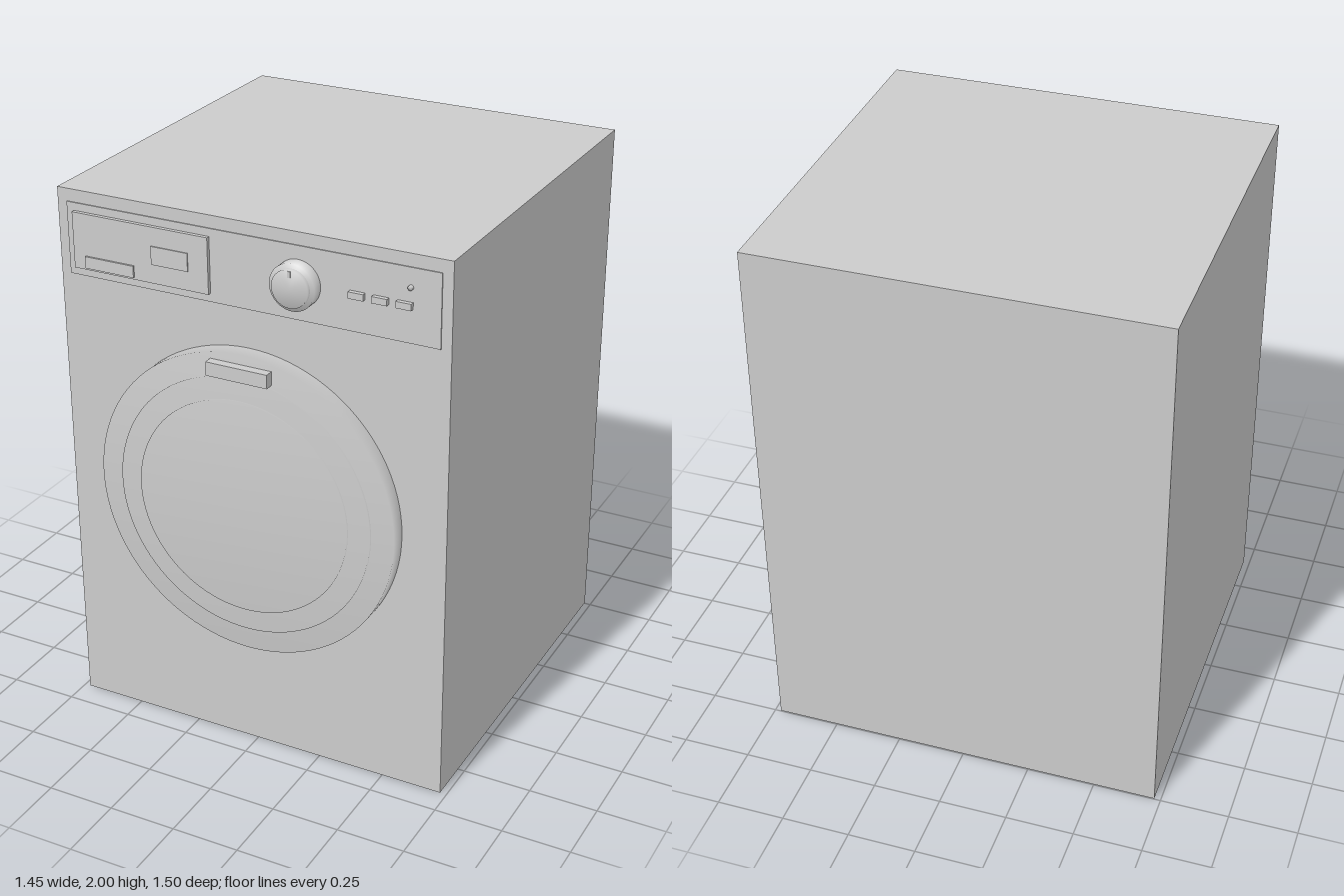
import * as THREE from 'three';

const material = new THREE.MeshStandardMaterial({ color: 0xcccccc });
const FRONT = 0.657; // z of the cabinet front

export function createModel() {
  const model = new THREE.Group();

  const add = (name, geometry, x = 0, y = 0, z = 0) => {
    const mesh = new THREE.Mesh(geometry, material);
    mesh.name = name;
    mesh.position.set(x, y, z);
    model.add(mesh);
    return mesh;
  };

  // Box given by its extents on each axis
  const box = (name, x0, x1, y0, y1, z0, z1) =>
    add(name, new THREE.BoxGeometry(x1 - x0, y1 - y0, z1 - z0),
      (x0 + x1) / 2, (y0 + y1) / 2, (z0 + z1) / 2);

  // Soft-shaded disc facing the front, from z0 to z1
  const disc = (name, x, y, radius, z0, z1, segments = 64) => {
    const profile = [[radius, z0], [radius, z1], [0, z1]].map(([r, h]) => new THREE.Vector2(r, h));
    const geometry = new THREE.LatheGeometry(profile, segments).rotateX(Math.PI / 2);
    return add(name, geometry, x, y, 0);
  };

  // Cabinet and feet
  box('cabinet', -0.727, 0.727, 0.003, 2, -0.75, FRONT);
  for (const x of [-0.58, 0.58]) {
    for (const z of [-0.595, 0.505]) {
      add('foot', new THREE.CylinderGeometry(0.045, 0.045, 0.04, 24), x, 0.02, z);
    }
  }

  // Control panel and detergent drawer
  box('controlPanel', -0.69, 0.69, 1.697, 1.955, FRONT - 0.02, 0.661);
  box('detergentDrawer', -0.662, -0.14, 1.727, 1.927, FRONT - 0.01, 0.675);
  box('drawerGrip', -0.615, -0.425, 1.735, 1.777, 0.66, 0.682);
  box('drawerLabel', -0.355, -0.215, 1.795, 1.86, 0.66, 0.679);

  // Programme knob with pointer
  disc('knobBase', 0.186, 1.826, 0.082, FRONT - 0.01, 0.704, 48);
  disc('knobCap', 0.186, 1.826, 0.066, 0.69, 0.72, 48);
  box('knobPointer', 0.181, 0.191, 1.866, 1.888, 0.7, 0.723);

  // Buttons and indicator light
  for (const x of [0.399, 0.482, 0.566]) {
    box('button', x - 0.027, x + 0.027, 1.815, 1.838, FRONT - 0.01, 0.677);
  }
  disc('indicatorLight', 0.585, 1.888, 0.009, FRONT - 0.01, 0.669, 12);

  // Round door: rim, inner ring, glass and handle
  disc('doorRim', 0, 0.992, 0.565, FRONT - 0.01, 0.718, 96);
  disc('doorRing', 0, 0.992, 0.481, 0.69, 0.727, 96);
  disc('doorGlass', 0, 0.992, 0.4, 0.7, 0.735, 96);
  box('doorHandle', -0.115, 0.115, 1.472, 1.522, 0.712, 0.75);

  return model;
}
